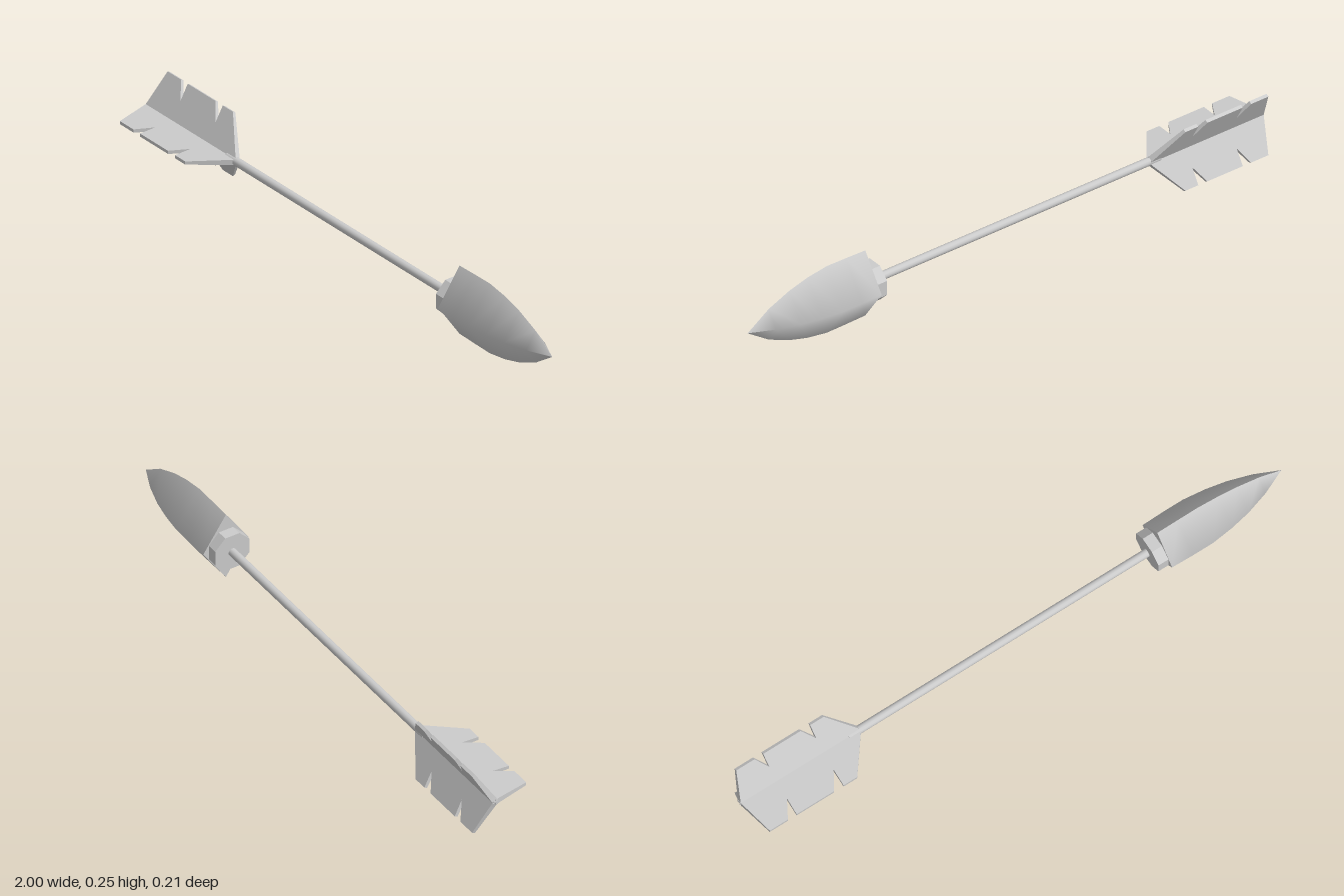
import * as THREE from 'three';

const AXIS_Y = 0.125, AXIS_Z = -0.022;
const grey = (opts = {}) => new THREE.MeshStandardMaterial({ color: 0xcccccc, ...opts });

// Prism along x between two stations
function rod(name, x0, x1, radius, sides, flatShading) {
  const geo = new THREE.CylinderGeometry(radius, radius, x1 - x0, sides);
  geo.rotateY(Math.PI / sides).rotateZ(-Math.PI / 2).translate((x0 + x1) / 2, 0, 0);
  const mesh = new THREE.Mesh(geo, grey({ flatShading }));
  mesh.name = name;
  return mesh;
}

// Notched vane, thicker at its root than at its outer edge
function featherGeometry() {
  const r = 0.129;
  const outline = [
    [-1, 0], [-0.995, 0.02], [-0.972, r], [-0.905, r], [-0.87, 0.07], [-0.873, r],
    [-0.735, r], [-0.698, 0.07], [-0.7, r], [-0.65, r], [-0.56, 0.012], [-0.56, 0],
  ].map(([x, y]) => new THREE.Vector2(x, y));
  const geo = new THREE.ExtrudeGeometry(new THREE.Shape(outline), { depth: 2, bevelEnabled: false });
  geo.translate(0, 0, -1);
  const p = geo.attributes.position;
  for (let i = 0; i < p.count; i++) {
    p.setZ(i, p.getZ(i) * THREE.MathUtils.lerp(0.01, 0.0055, p.getY(i) / r));
  }
  geo.computeVertexNormals();
  return geo;
}

// Diamond sections [x, half height, half depth] from base to tip
const sections = [
  [0.54, 0.121, 0.083], [0.615, 0.123, 0.085], [0.69, 0.124, 0.085], [0.765, 0.112, 0.076],
  [0.835, 0.092, 0.062], [0.915, 0.057, 0.037], [0.997, 0, 0],
];

// One smooth side of the head, sharp where it meets the other side
function headSide(sign) {
  const pos = [], index = [];
  sections.forEach(([x, h, d]) => pos.push(x, h, 0, x, 0, sign * d, x, -h, 0));
  const tri = (a, b, c) => (sign > 0 ? index.push(a, b, c) : index.push(a, c, b));
  for (let i = 0; i < sections.length - 1; i++) {
    for (let j = 0; j < 2; j++) {
      const a = i * 3 + j, b = a + 1, c = a + 3, d = a + 4;
      tri(a, b, c);
      if (i < sections.length - 2) tri(b, d, c);
    }
  }
  const geo = new THREE.BufferGeometry();
  geo.setAttribute('position', new THREE.Float32BufferAttribute(pos, 3));
  geo.setIndex(index);
  geo.computeVertexNormals();
  return geo;
}

export function createModel() {
  const model = new THREE.Group();
  model.name = 'arrow';
  model.position.set(0, AXIS_Y + 0.001, AXIS_Z);

  model.add(rod('shaft', -0.6, 0.52, 0.014, 12, false));
  model.add(rod('collar', 0.503, 0.545, 0.068, 8, true));

  // Three vanes around the tail
  const fletching = new THREE.Group();
  fletching.name = 'fletching';
  const vane = featherGeometry();
  for (let i = 0; i < 3; i++) {
    const feather = new THREE.Mesh(vane, grey());
    feather.name = 'feather';
    feather.rotation.x = Math.PI / 2 + (i * Math.PI * 2) / 3;
    fletching.add(feather);
  }
  model.add(fletching);

  // Arrowhead: two sides and a flat base
  const head = new THREE.Group();
  head.name = 'arrowhead';
  for (const sign of [1, -1]) {
    const side = new THREE.Mesh(headSide(sign), grey());
    side.name = sign > 0 ? 'headFront' : 'headBack';
    head.add(side);
  }
  const [bx, bh, bd] = sections[0];
  const diamond = [[bd, 0], [0, bh], [-bd, 0], [0, -bh]].map(([x, y]) => new THREE.Vector2(x, y));
  const base = new THREE.Mesh(new THREE.ShapeGeometry(new THREE.Shape(diamond)), grey());
  base.name = 'headBase';
  base.rotation.y = -Math.PI / 2;
  base.position.x = bx;
  head.add(base);
  model.add(head);

  const root = new THREE.Group();
  root.add(model);
  return root;
}
